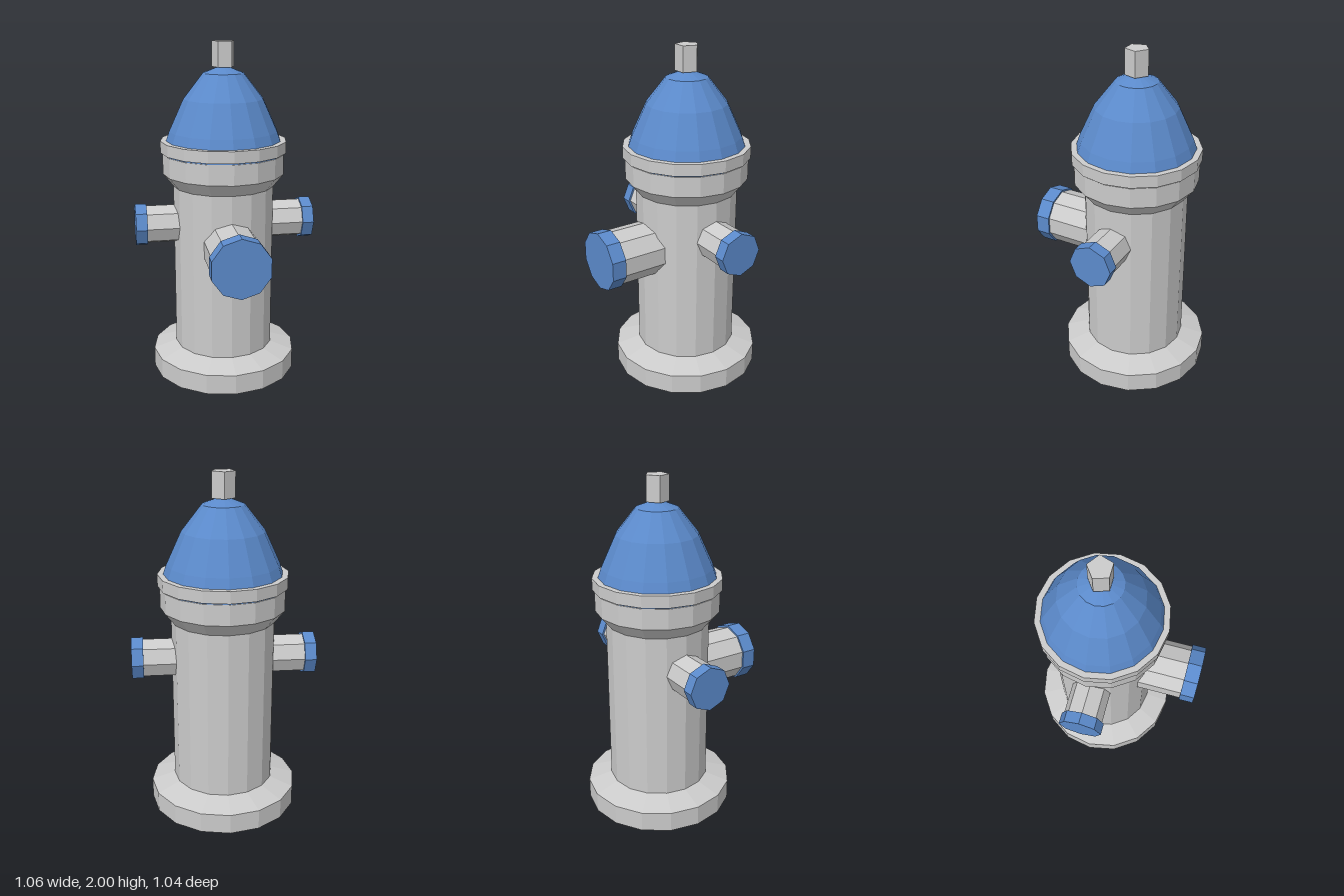
import * as THREE from 'three';

const AXIS_Z = -0.08; // the barrel sits behind the centre because of the front outlet

export function createModel() {
  const model = new THREE.Group();
  model.name = 'fireHydrant';
  const grey = new THREE.MeshStandardMaterial({ color: 0xcccccc, flatShading: true });
  const blue = new THREE.MeshStandardMaterial({ color: 0x5b8acb, flatShading: true });

  const add = (name, geometry, material, parent = model) => {
    const mesh = new THREE.Mesh(geometry, material);
    mesh.name = name;
    parent.add(mesh);
    return mesh;
  };

  // Sixteen-sided turned part, profile given from bottom to top as [radius, y]
  const turned = (name, profile, material) => {
    const points = profile.map(([r, y]) => new THREE.Vector2(r, y));
    add(name, new THREE.LatheGeometry(points, 16), material).position.z = AXIS_Z;
  };

  turned('base', [[0, 0], [0.44, 0], [0.44, 0.12], [0.3, 0.165], [0, 0.165]], grey);
  turned('barrel', [[0.3, 0.165], [0.3, 1.165], [0.36, 1.24], [0.36, 1.358], [0, 1.358]], grey);
  turned('gasket', [[0.355, 1.355], [0.355, 1.37]], blue);
  turned('collar', [[0, 1.367], [0.372, 1.367], [0.372, 1.435], [0, 1.435]], grey);
  turned('dome', [[0.34, 1.43], [0.319, 1.49], [0.234, 1.675], [0.12, 1.82], [0, 1.866]], blue);

  // Five-sided nut on top
  const nut = add('topNut', new THREE.CylinderGeometry(0.068, 0.068, 0.145, 5), grey);
  nut.position.set(0, 1.9275, AXIS_Z);
  nut.rotation.y = Math.PI;

  // Outlet built along +y: pipe from the barrel axis, then a wider cap
  const outlet = (name, sides, pipeRadius, capRadius, capStart, capEnd) => {
    const group = new THREE.Group();
    group.name = name;
    const pipe = new THREE.CylinderGeometry(pipeRadius, pipeRadius, capStart - 0.15, sides);
    add('pipe', pipe, grey, group).position.y = (capStart + 0.15) / 2;
    const cap = new THREE.CylinderGeometry(capRadius, capRadius, capEnd - capStart, sides);
    add('cap', cap, blue, group).position.y = (capStart + capEnd) / 2;
    model.add(group);
    return group;
  };

  const front = outlet('frontOutlet', 10, 0.162, 0.173, 0.435 - AXIS_Z, 0.52 - AXIS_Z);
  front.position.set(0, 0.84, AXIS_Z);
  front.rotation.x = Math.PI / 2;

  for (const [name, side] of [['leftOutlet', 1], ['rightOutlet', -1]]) {
    const group = outlet(name, 8, 0.115, 0.127, 0.465, 0.532);
    group.position.set(0, 0.935, AXIS_Z);
    group.rotation.z = -side * Math.PI / 2;
  }

  return model;
}
